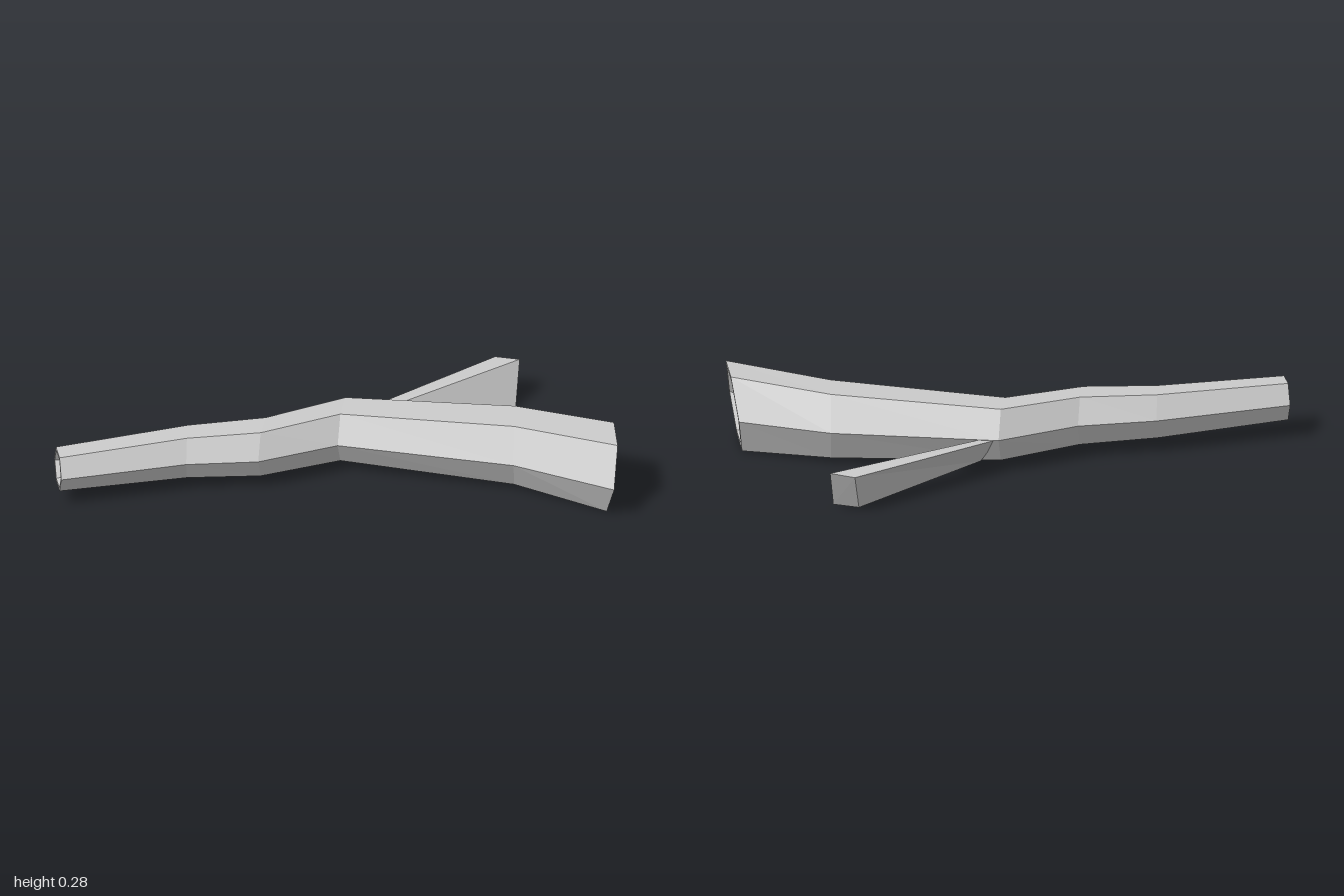
import * as THREE from 'three';

const material = new THREE.MeshStandardMaterial({ color: 0xcccccc, flatShading: true });

// Skin a list of equal-sized rings of points and cap both ends.
function loft(name, rings) {
  const n = rings[0].length;
  const positions = [];
  const tri = (...pts) => pts.forEach((p) => positions.push(p.x, p.y, p.z));
  for (let i = 0; i < rings.length - 1; i++) {
    for (let j = 0; j < n; j++) {
      const k = (j + 1) % n;
      const [a, b, c, d] = [rings[i][j], rings[i][k], rings[i + 1][j], rings[i + 1][k]];
      tri(a, c, b);
      tri(b, c, d);
    }
  }
  const first = rings[0];
  const last = rings[rings.length - 1];
  for (let j = 1; j < n - 1; j++) {
    tri(first[0], first[j], first[j + 1]);
    tri(last[0], last[j + 1], last[j]);
  }
  const geometry = new THREE.BufferGeometry();
  geometry.setAttribute('position', new THREE.Float32BufferAttribute(positions, 3));
  geometry.computeVertexNormals();
  const mesh = new THREE.Mesh(geometry, material);
  mesh.name = name;
  return mesh;
}

// Hexagon spanning a back and a front corner; tilt leans its top along x.
function hexRing([bx, bz, fx, fz, y, h, tilt = 0]) {
  const ring = [];
  for (let j = 0; j < 6; j++) {
    const side = Math.cos((j * Math.PI) / 3);
    const up = Math.round(Math.sin((j * Math.PI) / 3));
    const t = (1 + side) / 2;
    ring.push(new THREE.Vector3(bx + (fx - bx) * t + up * tilt, y + up * h, bz + (fz - bz) * t));
  }
  return ring;
}

// Copy of a ring shrunk about its centre and pushed by an offset.
function inset(ring, scale, dx = 0, dz = 0) {
  const centre = new THREE.Vector3();
  ring.forEach((p) => centre.addScaledVector(p, 1 / ring.length));
  const push = new THREE.Vector3(dx, 0, dz);
  return ring.map((p) => p.clone().sub(centre).multiplyScalar(scale).add(centre).add(push));
}

export function createModel() {
  const group = new THREE.Group();
  group.name = 'branch';

  // Main limb: back x, back z, front x, front z, centre y, half height, tilt
  const limb = [
    [-1, 0.388, -0.95, 0.527, 0.146, 0.07],
    [-0.55, 0.175, -0.53, 0.35, 0.146, 0.083],
    [-0.28, 0.085, -0.28, 0.29, 0.147, 0.091],
    [-0.02, -0.09, -0.02, 0.135, 0.147, 0.098],
    [0.58, -0.11, 0.62, 0.16, 0.148, 0.122],
    [0.92, -0.045, 1, 0.254, 0.145, 0.141, 0.02],
  ].map(hexRing);
  const thin = limb[0];
  const thick = limb[limb.length - 1];

  // Recessed cut faces at both ends
  group.add(loft('limb', [
    inset(thin, 0.76, 0.03, -0.012),
    inset(thin, 0.84),
    ...limb,
    inset(thick, 0.85),
    inset(thick, 0.79, -0.05, -0.012),
  ]));

  // Side branch: slanted four-sided wedge growing towards the back
  const ring = (...pts) => pts.map((p) => new THREE.Vector3(...p));
  group.add(loft('sideBranch', [
    ring([0.1, 0.05, -0.04], [0.04, 0.145, -0.08], [-0.01, 0.145, -0.08], [0.05, 0.045, -0.04]),
    ring([0.524, 0.012, -0.438], [0.524, 0.163, -0.518], [0.433, 0.157, -0.53], [0.43, 0.01, -0.45]),
  ]));

  return group;
}
